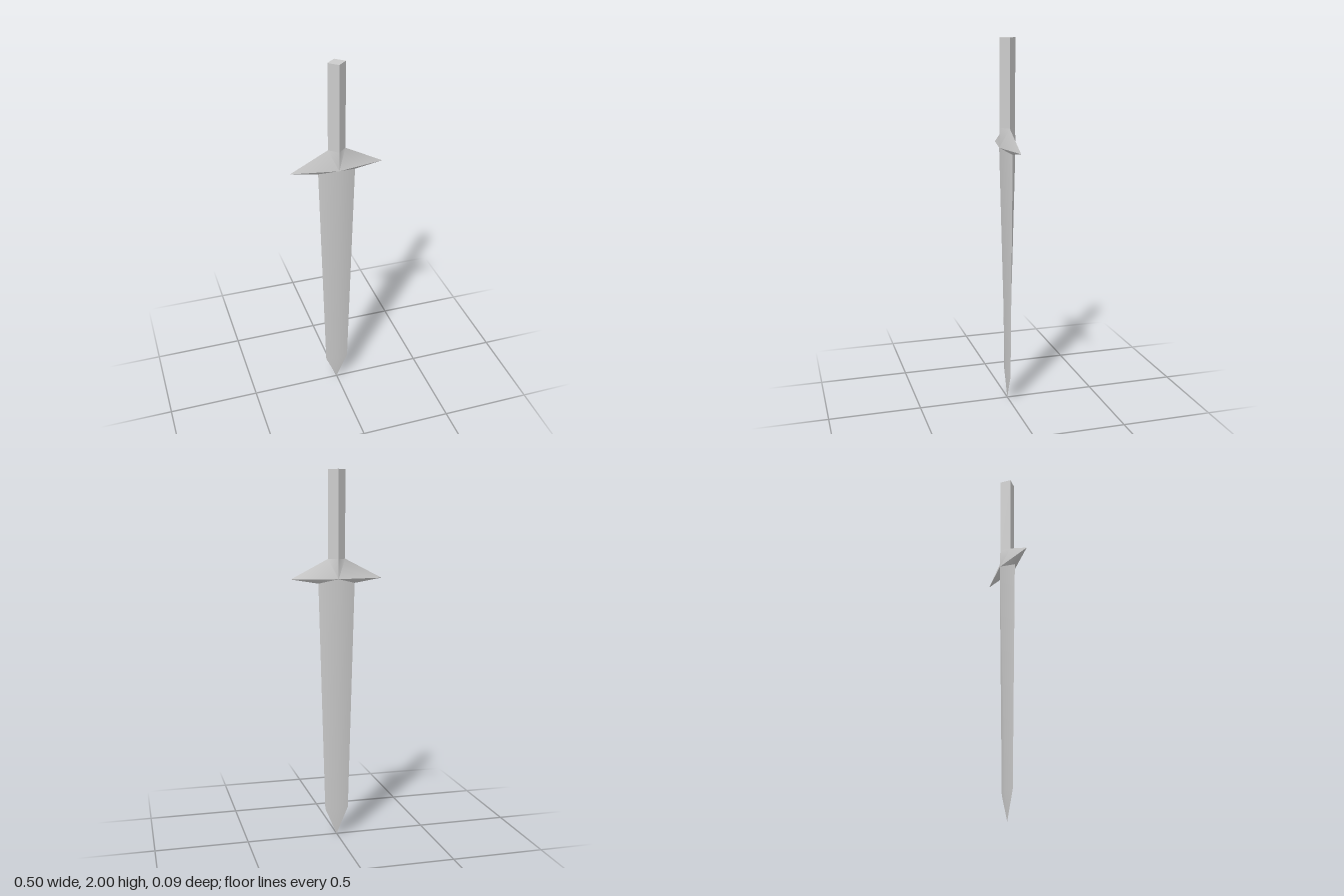
import * as THREE from 'three';
import { toCreasedNormals } from 'three/addons/utils/BufferGeometryUtils.js';

// Diamond section: side corners at (±x, yx, 0), ridge corners at (0, yz, ±z)
const diamond = (x, yx, z, yz = yx) => [
  new THREE.Vector3(x, yx, 0), new THREE.Vector3(0, yz, z),
  new THREE.Vector3(-x, yx, 0), new THREE.Vector3(0, yz, -z),
];

// Joins diamond sections listed from top to bottom, optionally closing the top
function loft(rings, capTop = false) {
  const points = [];
  const tri = (a, b, c) => {
    if (new THREE.Triangle(a, b, c).getArea() > 1e-7) points.push(a, b, c);
  };
  for (let i = 0; i < rings.length - 1; i++) {
    const a = rings[i], b = rings[i + 1];
    for (let j = 0; j < 4; j++) {
      const k = (j + 1) % 4;
      // Diagonals always run from an upper side corner to a lower ridge corner
      if (j % 2 === 0) {
        tri(a[j], a[k], b[k]);
        tri(a[j], b[k], b[j]);
      } else {
        tri(a[j], a[k], b[j]);
        tri(a[k], b[k], b[j]);
      }
    }
  }
  if (capTop) {
    const t = rings[0];
    tri(t[2], t[1], t[0]);
    tri(t[0], t[3], t[2]);
  }
  const geometry = new THREE.BufferGeometry().setFromPoints(points);
  return toCreasedNormals(geometry, 1);
}

export function createModel() {
  const group = new THREE.Group();
  group.name = 'dagger';
  const steel = new THREE.MeshStandardMaterial({ color: 0xcccccc });
  steel.name = 'steel';

  const add = (name, geometry) => {
    const mesh = new THREE.Mesh(geometry, steel);
    mesh.name = name;
    group.add(mesh);
  };

  const gripBase = diamond(0.047, 1.535, 0.043);
  const bladeTop = diamond(0.1, 1.405, 0.045, 1.43);

  // Straight grip with a flat end
  add('grip', loft([diamond(0.047, 2, 0.043), gripBase], true));

  // Pointed crossguard flaring out from the grip and narrowing to the blade
  add('crossguard', loft([gripBase, diamond(0.25, 1.43, 0.045), bladeTop]));

  // Tapering blade with a short point
  add('blade', loft([bladeTop, diamond(0.065, 0.15, 0.012), diamond(0, 0, 0)]));

  return group;
}
